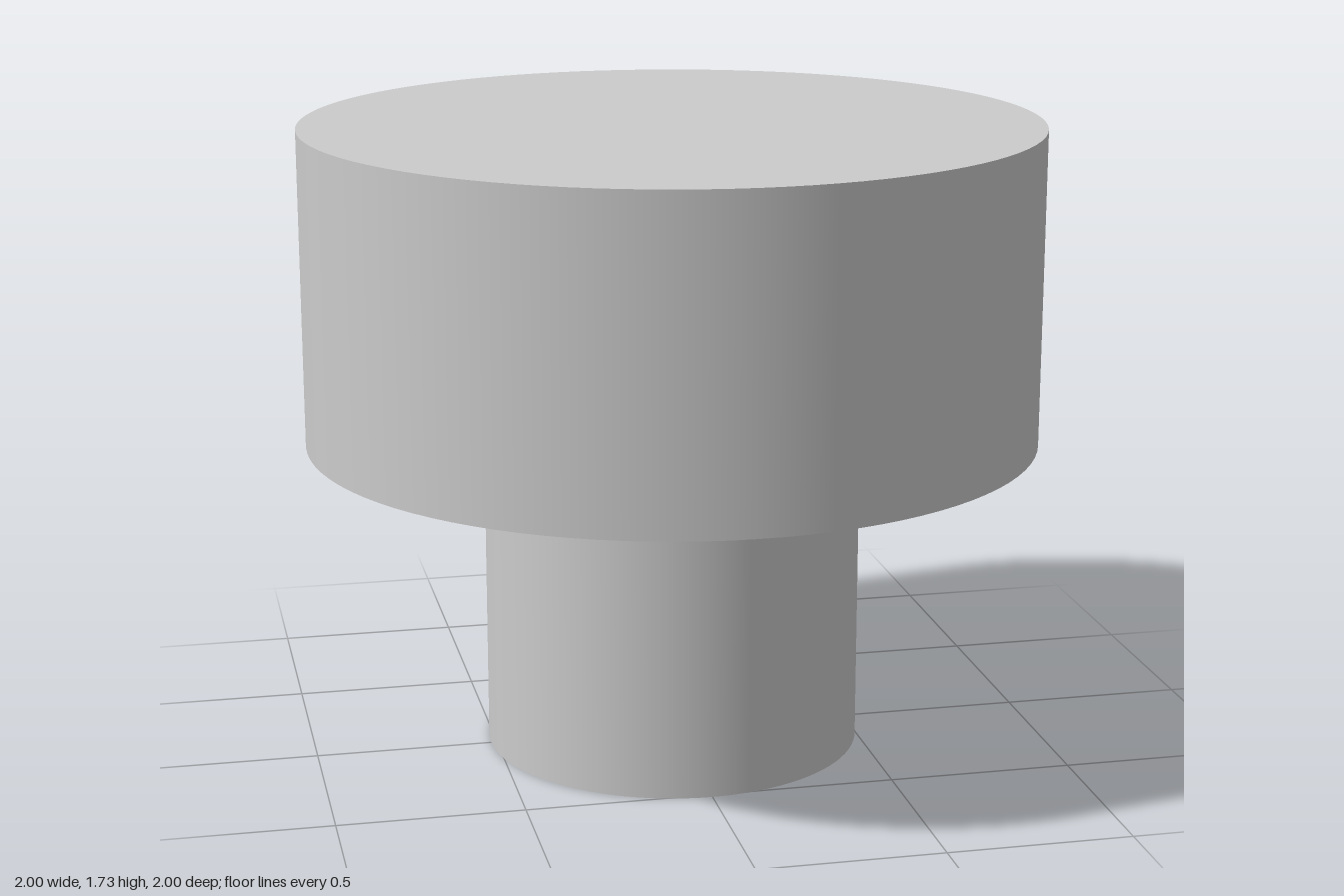
import * as THREE from 'three';

const SEGMENTS = 96;
const STEM_RADIUS = 0.516;
const HEAD_RADIUS = 1;
const STEM_TOP = 0.866;
const HEAD_TOP = 1.728;

export function createModel() {
  const group = new THREE.Group();
  group.name = 'steppedKnob';
  const material = new THREE.MeshStandardMaterial({ color: 0xcccccc });

  // Upright cylinder spanning two heights
  const addCylinder = (name, radius, bottom, top) => {
    const geometry = new THREE.CylinderGeometry(radius, radius, top - bottom, SEGMENTS);
    const mesh = new THREE.Mesh(geometry, material);
    mesh.name = name;
    mesh.position.y = (bottom + top) / 2;
    group.add(mesh);
  };

  // Narrow stem standing on the ground, wide head on top of it
  addCylinder('stem', STEM_RADIUS, 0, STEM_TOP);
  addCylinder('head', HEAD_RADIUS, STEM_TOP, HEAD_TOP);

  return group;
}
